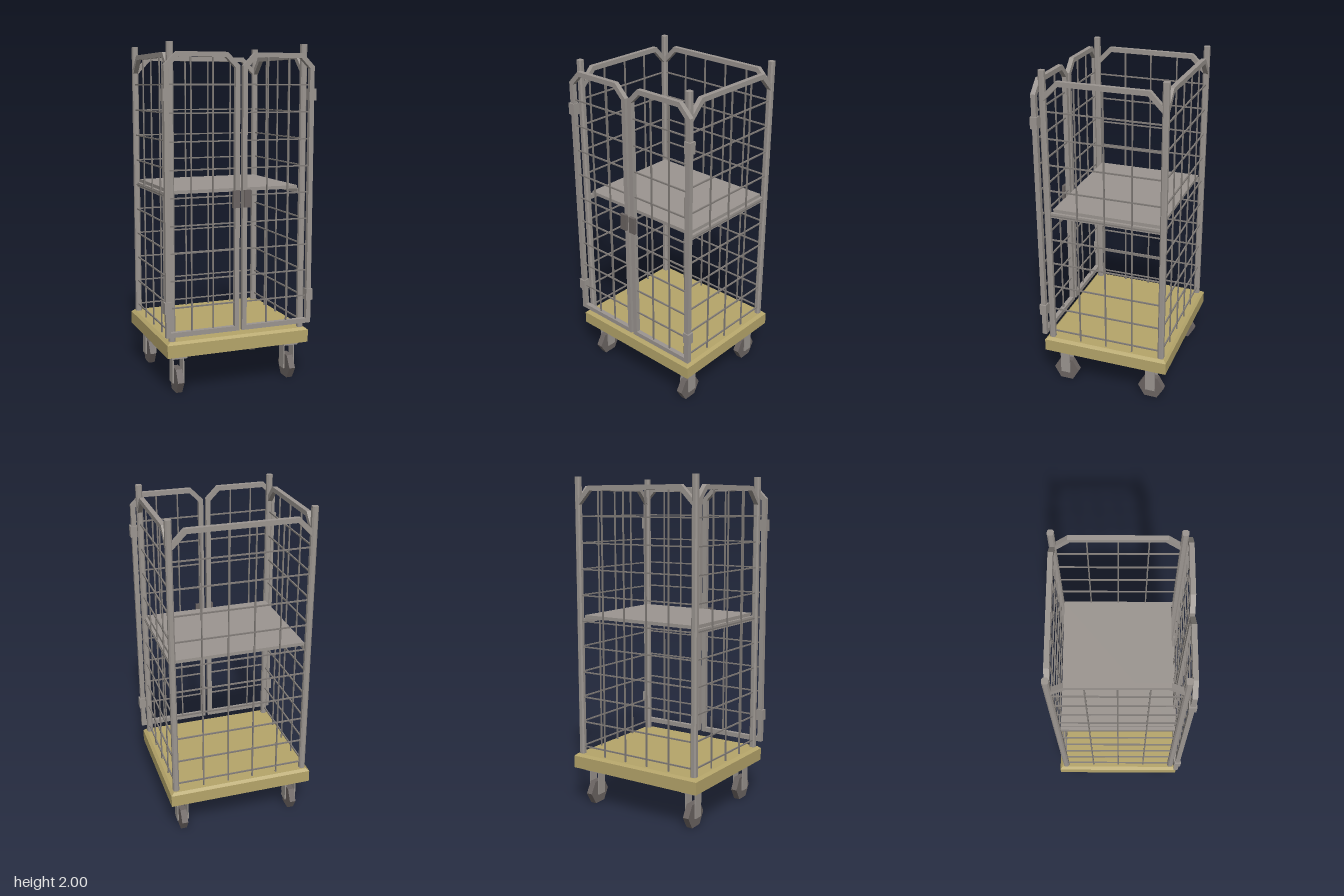
import * as THREE from 'three';

const material = (name, color) => {
  const m = new THREE.MeshStandardMaterial({ color });
  m.name = name;
  return m;
};

export function createModel() {
  const steel = material('steel', 0x9b9590);
  const wire = material('wire steel', 0x827d79);
  const dark = material('dark rubber', 0x6b6462);
  const deck = material('deck yellow', 0xb5a56a);
  const model = new THREE.Group();

  const add = (parent, name, geometry, mat, x = 0, y = 0, z = 0) => {
    const mesh = new THREE.Mesh(geometry, mat);
    mesh.name = name;
    mesh.position.set(x, y, z);
    parent.add(mesh);
    return mesh;
  };
  const box = (parent, name, mat, w, h, d, x, y, z) =>
    add(parent, name, new THREE.BoxGeometry(w, h, d), mat, x, y, z);
  const group = (name, x = 0, y = 0, z = 0) => {
    const g = new THREE.Group();
    g.name = name;
    g.position.set(x, y, z);
    model.add(g);
    return g;
  };
  const outline = (pts) => pts.map(([x, y]) => new THREE.Vector2(x, y));
  const slab = (shape, depth) =>
    new THREE.ExtrudeGeometry(shape, { depth, bevelEnabled: false }).translate(0, 0, -depth / 2);

  // Main dimensions
  const postX = 0.405, frontZ = 0.335, backZ = -0.362, midZ = (frontZ + backZ) / 2;
  const postSize = 0.036, tube = 0.028, wireSize = 0.008;
  const rowHeights = Array.from({ length: 10 }, (_, i) => 0.37 + i * 0.1556);

  // Deck with a chamfered top edge
  let deckShape = new THREE.BoxGeometry(0.886, 0.09, 0.778, 1, 2, 1);
  const p = deckShape.attributes.position;
  for (let i = 0; i < p.count; i++) {
    const y = p.getY(i);
    if (y > 0.01) {
      p.setX(i, p.getX(i) - Math.sign(p.getX(i)) * 0.018);
      p.setZ(i, p.getZ(i) - Math.sign(p.getZ(i)) * 0.015);
    } else if (y > -0.01) p.setY(i, 0.03);
  }
  deckShape = deckShape.toNonIndexed();
  deckShape.computeVertexNormals();
  add(model, 'deck', deckShape, deck, 0, 0.28, -0.014);

  // Corner posts with chamfered edges
  const h = postSize / 2, c = h - 0.008;
  const postShape = new THREE.Shape(outline([
    [h, -c], [h, c], [c, h], [-c, h], [-h, c], [-h, -c], [-c, -h], [c, -h],
  ]));
  const postGeometry = slab(postShape, 1.68).rotateX(-Math.PI / 2);
  for (const x of [-postX, postX])
    for (const z of [frontZ, backZ]) add(model, 'cornerPost', postGeometry, steel, x, 1.16, z);

  // Wire grid filling a panel of the given width
  const grid = (parent, x0, x1, columns, bottom, top) => {
    const mid = (x0 + x1) / 2;
    for (const y of rowHeights)
      box(parent, 'horizontalWire', wire, x1 - x0, wireSize, wireSize, mid, y, 0);
    for (let i = 1; i <= columns; i++)
      box(parent, 'verticalWire', wire, wireSize, top - bottom, wireSize,
        x0 + ((x1 - x0) * i) / (columns + 1), (top + bottom) / 2, 0);
  };

  // Fixed panel: top tube with sloping ends, plus wires
  const fixedPanel = (name, span, columns, x, z, turn) => {
    const g = group(name, x, 0, z);
    g.rotation.y = turn;
    const e = span / 2 + 0.004, k = e - 0.07 - 0.414 * tube, drop = 1.875 - tube * Math.SQRT2;
    const arch = new THREE.Shape(outline([
      [-e, drop], [-k, 1.947 - tube], [k, 1.947 - tube], [e, drop],
      [e, 1.875], [e - 0.07, 1.947], [-e + 0.07, 1.947], [-e, 1.875],
    ]));
    add(g, 'topTube', slab(arch, tube), steel);
    grid(g, -span / 2, span / 2, columns, 0.32, 1.93);
  };
  fixedPanel('backPanel', 2 * postX - postSize, 4, 0, backZ - 0.002, 0);
  for (const s of [-1, 1])
    fixedPanel(s > 0 ? 'leftPanel' : 'rightPanel', frontZ - backZ - postSize, 3,
      s * (postX + 0.002), midZ, Math.PI / 2);

  // Shelf on two side rails
  box(model, 'shelf', steel, 0.78, 0.02, 0.648, 0, 1.173, -0.017);
  for (const s of [-1, 1])
    box(model, 'shelfRail', steel, 0.02, 0.028, 0.665, s * 0.397, 1.149, midZ);

  // Front doors, each with a frame, wires, latch and hinges
  const frame = (x0, x1, y0, y1, cut) =>
    outline([[x0, y0], [x1, y0], [x1, y1 - cut], [x1 - cut, y1], [x0 + cut, y1], [x0, y1 - cut]]);
  for (const s of [-1, 1]) {
    const g = group(s > 0 ? 'leftDoor' : 'rightDoor', s * 0.231, 0, 0.37);
    const w = 0.222, cut = 0.073;
    const shape = new THREE.Shape(frame(-w, w, 0.358, 1.947, cut));
    shape.holes.push(new THREE.Path(
      frame(-w + tube, w - tube, 0.358 + tube, 1.947 - tube, cut - 0.586 * tube).reverse()));
    add(g, 'doorFrame', slab(shape, tube), steel);
    grid(g, -w + tube, w - tube, 2, 0.375, 1.93);
    box(g, 'latch', dark, 0.044, 0.1, 0.017, -s * 0.197, 1.13, 0.0225);
    for (const y of [0.532, 1.715])
      box(g, 'hinge', steel, 0.043, 0.068, 0.042, s * 0.21, y, 0);
  }

  // Casters: mounting plate, fork and six-sided wheel
  const wheel = new THREE.CylinderGeometry(0.081, 0.081, 0.038, 6).rotateZ(Math.PI / 2).toNonIndexed();
  wheel.computeVertexNormals();
  for (const x of [-0.355, 0.355])
    for (const z of [0.268, -0.291]) {
      const g = group('caster', x, 0, z);
      box(g, 'mountingPlate', steel, 0.092, 0.03, 0.112, 0, 0.223, 0);
      for (const s of [-1, 1])
        box(g, 'forkSide', steel, 0.008, 0.155, 0.06, s * 0.032, 0.134, 0);
      add(g, 'wheel', wheel, dark, 0, 0.0702, 0);
    }

  return model;
}
